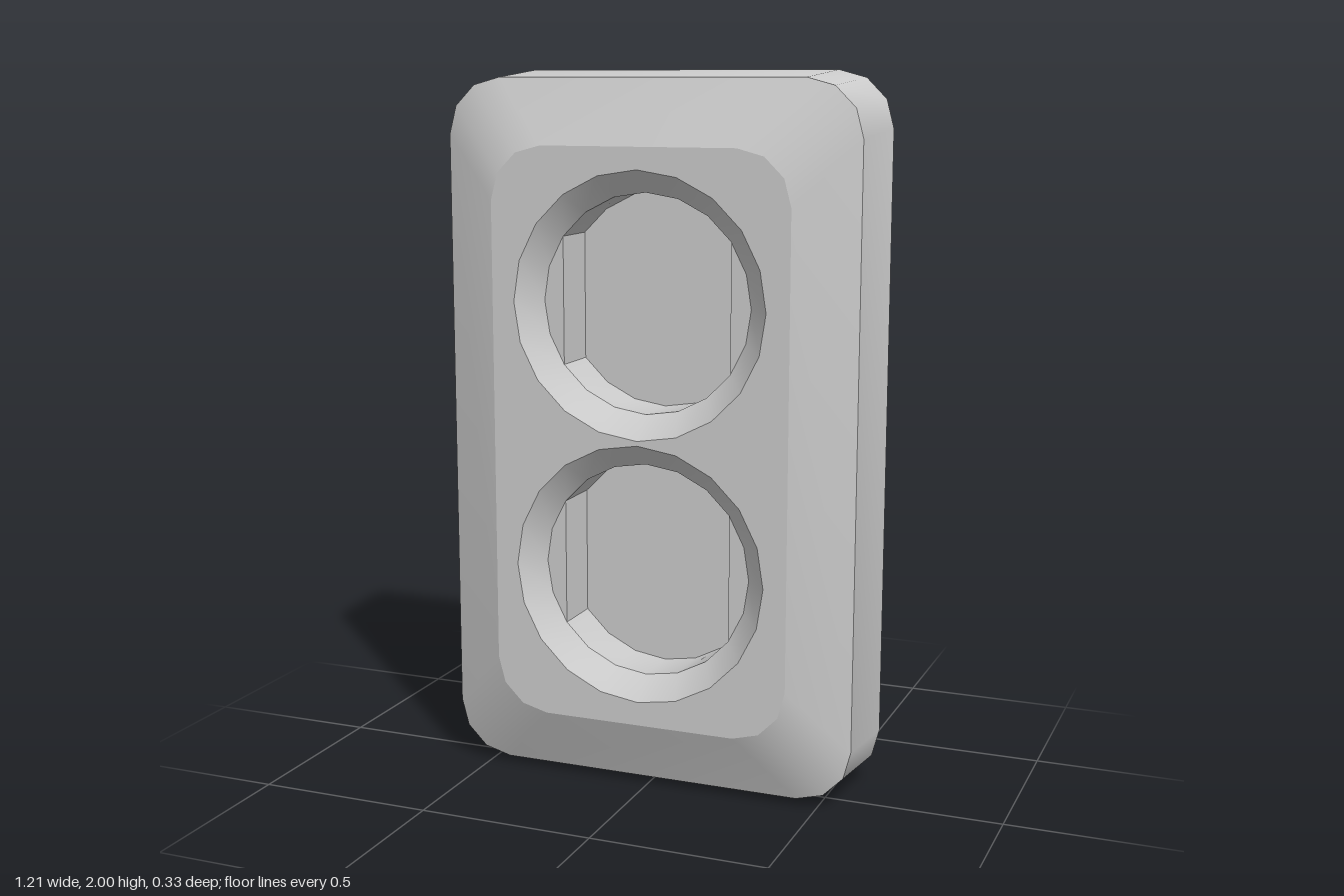
import * as THREE from 'three';
import { toCreasedNormals } from 'three/addons/utils/BufferGeometryUtils.js';

const material = new THREE.MeshStandardMaterial({ color: 0xcccccc });
const CENTER_Y = 1;
const FRONT_Z = 0.165, EDGE_Z = 0.085, BACK_Z = -0.168;
const LEDGE_Z = 0.1, FLOOR_Z = -0.045;

// Rounded rectangle outline, three segments per corner, counter-clockwise
function roundedRect(halfW, halfH, r) {
  const points = [];
  [[1, 1], [-1, 1], [-1, -1], [1, -1]].forEach(([sx, sy], corner) => {
    for (let i = 0; i <= 3; i++) {
      const a = (corner + i / 3) * Math.PI / 2;
      points.push(new THREE.Vector2(
        sx * (halfW - r) + r * Math.cos(a),
        CENTER_Y + sy * (halfH - r) + r * Math.sin(a)));
    }
  });
  return points;
}

// Points of a 20-sided circle from step `from` to step `to`
function arc(cy, r, from, to) {
  const points = [];
  for (let i = from; i <= to; i++) {
    const a = i * Math.PI / 10;
    points.push(new THREE.Vector2(r * Math.cos(a), cy + r * Math.sin(a)));
  }
  return points;
}

// Strip of quads joining two outlines: faces outward going back to front, inward going front to back
function band(name, ringA, zA, ringB, zB) {
  const pos = [], n = ringA.length;
  for (let i = 0; i < n; i++) {
    const j = (i + 1) % n;
    const a = [ringA[i].x, ringA[i].y, zA], b = [ringA[j].x, ringA[j].y, zA];
    const c = [ringB[j].x, ringB[j].y, zB], d = [ringB[i].x, ringB[i].y, zB];
    pos.push(...a, ...b, ...c, ...a, ...c, ...d);
  }
  const geo = new THREE.BufferGeometry();
  geo.setAttribute('position', new THREE.Float32BufferAttribute(pos, 3));
  const mesh = new THREE.Mesh(toCreasedNormals(geo, 0.62), material);
  mesh.name = name;
  return mesh;
}

// Flat face at depth z, optionally with holes
function face(name, outline, z, holes = []) {
  const shape = new THREE.Shape(outline);
  holes.forEach((h) => shape.holes.push(new THREE.Path(h)));
  const geo = new THREE.ShapeGeometry(shape);
  geo.translate(0, 0, z);
  const mesh = new THREE.Mesh(geo, material);
  mesh.name = name;
  return mesh;
}

export function createModel() {
  const model = new THREE.Group();
  model.name = 'doubleSocket';

  const back = roundedRect(0.607, 1, 0.155);
  const edge = roundedRect(0.595, 0.98, 0.155);
  const front = roundedRect(0.43, 0.8, 0.15);
  const centers = [1.375, 0.632];
  const rims = centers.map((cy) => arc(cy, 0.365, 0, 19));

  // Housing: tapered sides, wide bevel, pierced front, closed back
  model.add(
    band('housingSide', back, BACK_Z, edge, EDGE_Z),
    band('frontBevel', edge, EDGE_Z, front, FRONT_Z),
    face('frontPlate', front, FRONT_Z, rims));
  const backPlate = face('backPlate', back, 0);
  backPlate.geometry.rotateY(Math.PI); // outline is symmetric, so it still fits
  backPlate.geometry.translate(0, 0, BACK_Z);
  model.add(backPlate);

  // Outlets: chamfered round opening, then a well with two flat sides
  centers.forEach((cy, i) => {
    const outlet = new THREE.Group();
    outlet.name = i === 0 ? 'upperOutlet' : 'lowerOutlet';
    const well = [...arc(cy, 0.302, 2, 8), ...arc(cy, 0.302, 12, 18)];
    outlet.add(
      band('openingChamfer', rims[i], FRONT_Z, arc(cy, 0.302, 0, 19), LEDGE_Z),
      face('leftLedge', arc(cy, 0.302, -2, 2), LEDGE_Z),
      face('rightLedge', arc(cy, 0.302, 8, 12), LEDGE_Z),
      band('wellWall', well, LEDGE_Z, well, FLOOR_Z),
      face('wellFloor', well, FLOOR_Z));
    model.add(outlet);
  });

  return model;
}
